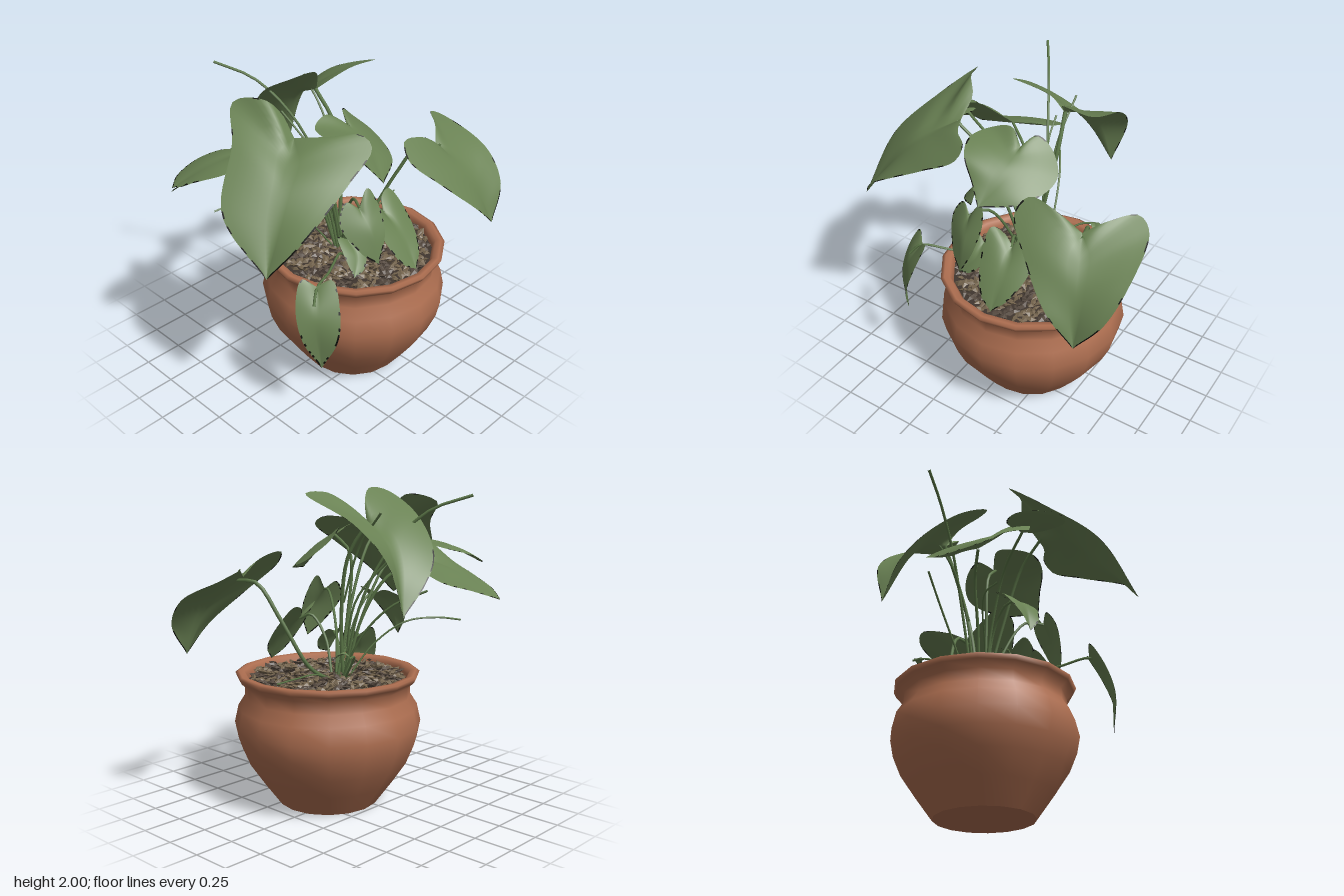
import * as THREE from 'three';
import { mergeGeometries } from 'three/addons/utils/BufferGeometryUtils.js';

const mat = (name, color, extra = {}) => {
  const m = new THREE.MeshStandardMaterial({ color, ...extra });
  m.name = name;
  return m;
};
const vec = (p) => new THREE.Vector3(...p);

export function createModel() {
  const model = new THREE.Group();
  model.name = 'pottedPlant';
  const clay = mat('terracotta', 0xad6e50);
  const leafGreen = mat('leafGreen', 0x6a8254, { side: THREE.DoubleSide });
  const leafEdge = mat('leafEdgeBlack', 0x0b0d08, { side: THREE.DoubleSide });
  const stemGreen = mat('stemGreen', 0x5c7748);
  const earth = mat('darkEarth', 0x40362f);
  const chipBrown = mat('barkBrown', 0x74644d, { flatShading: true });
  const chipDark = mat('barkDark', 0x574b41, { flatShading: true });

  let seed = 7;
  const rnd = () => (seed = (seed * 16807) % 2147483647) / 2147483647;
  const add = (name, geometry, material, parent = model) => {
    const mesh = new THREE.Mesh(geometry, material);
    mesh.name = name;
    parent.add(mesh);
  };

  // Pot: turned wall with belly, neck and rolled rim, plus a flat base
  const potGroup = new THREE.Group();
  potGroup.name = 'pot';
  potGroup.position.set(0.105, 0, 0.095);
  model.add(potGroup);
  const profile = [[0.32, 0], [0.43, 0.15], [0.525, 0.29], [0.575, 0.41], [0.597, 0.52], [0.572, 0.63],
    [0.528, 0.7], [0.526, 0.775], [0.572, 0.815], [0.587, 0.845], [0.565, 0.855], [0.53, 0.85], [0.51, 0.82], [0.505, 0.74]];
  add('potWall', new THREE.LatheGeometry(profile.map(([r, y]) => new THREE.Vector2(r, y)), 16), clay, potGroup);
  add('potBase', new THREE.CircleGeometry(0.32, 16).rotateX(Math.PI / 2), clay, potGroup);
  add('soil', new THREE.CircleGeometry(0.515, 28).rotateX(-Math.PI / 2).translate(0, 0.795, 0), earth, potGroup);

  // Bark chips scattered over the soil
  const chips = [[], []];
  for (let i = 0; i < 520; i++) {
    const r = 0.485 * Math.sqrt((i + 0.5) / 520), a = i * 2.39996;
    const chip = new THREE.OctahedronGeometry(1);
    chip.scale(0.016 + rnd() * 0.01, 0.009 + rnd() * 0.005, 0.028 + rnd() * 0.018);
    chip.rotateX((rnd() - 0.5) * 1.1).rotateZ((rnd() - 0.5) * 1.1).rotateY(rnd() * 6.28);
    chip.translate(r * Math.cos(a), 0.808 + rnd() * 0.026, r * Math.sin(a));
    chips[i % 5 < 3 ? 0 : 1].push(chip);
  }
  add('barkChips', mergeGeometries(chips[0]), chipBrown, potGroup);
  add('darkBarkChips', mergeGeometries(chips[1]), chipDark, potGroup);

  // Heart-shaped leaf: lofted from left edge over the midrib to right edge,
  // with a narrow ragged dark border that thickens toward the tip
  const leaves = new THREE.Group();
  leaves.name = 'leaves';
  model.add(leaves);
  function leaf(name, base, mid, tip, left, right) {
    const N = 36, M = 7, W = 2 * M + 1;
    const curve = (pts) => new THREE.CatmullRomCurve3([base, ...pts, tip].map(vec), false, 'centripetal');
    const edges = [curve(left), curve(right)], rib = curve([mid]);
    const pos = [], blade = [], border = [];
    for (let i = 0; i <= N; i++) {
      const t = i / N, m = rib.getPoint(t);
      const e = edges.map((c) => c.getPointAt(t));
      for (let j = -M; j <= M; j++) {
        const k = Math.abs(j), edge = e[j < 0 ? 0 : 1], d = m.distanceTo(edge);
        const u = k === M ? 1 : (k / (M - 1)) * (1 - Math.min(0.5, 0.01 / Math.max(d, 0.001)));
        const p = m.clone().lerp(edge, u);
        p.y += 0.2 * u * (1 - u) * d;
        pos.push(p.x, p.y, p.z);
        if (i < N && j < M) {
          const a = i * W + j + M, b = a + W;
          const outer = j === -M || j === M - 1;
          (outer && rnd() < 0.1 + 0.7 * t ** 3 ? border : blade).push(a, b, a + 1, a + 1, b, b + 1);
        }
      }
    }
    const g = new THREE.BufferGeometry();
    g.setAttribute('position', new THREE.Float32BufferAttribute(pos, 3));
    g.setIndex([...blade, ...border]);
    g.addGroup(0, blade.length, 0);
    g.addGroup(blade.length, border.length, 1);
    g.computeVertexNormals();
    add(name, g, [leafGreen, leafEdge], leaves);
  }

  leaf('frontRightLeaf', [0.58, 1.47, 0.34], [0.68, 1.28, 0.56], [0.75, 0.97, 0.7],
    [[0.42, 1.57, 0.36], [0.25, 1.6, 0.36], [0.2, 1.52, 0.44], [0.36, 1.34, 0.58], [0.57, 1.14, 0.7]],
    [[0.68, 1.53, 0.25], [0.81, 1.54, 0.11], [0.9, 1.49, 0.16], [0.95, 1.35, 0.47], [0.9, 1.17, 0.64]]);
  leaf('frontLeftLeaf', [-0.4, 1.76, 0.1], [-0.66, 1.6, 0.27], [-0.93, 1.22, 0.43],
    [[-0.39, 1.87, -0.01], [-0.45, 1.95, -0.08], [-0.53, 1.91, -0.26], [-0.7, 1.76, -0.08], [-0.94, 1.49, 0.1]],
    [[-0.3, 1.79, 0.27], [-0.17, 1.8, 0.4], [-0.17, 1.75, 0.48], [-0.4, 1.62, 0.52], [-0.78, 1.4, 0.53]]);
  leaf('backLeftLeaf', [-0.3, 1.56, -0.31], [-0.53, 1.48, -0.43], [-0.77, 1.28, -0.61],
    [[-0.2, 1.58, -0.33], [-0.05, 1.6, -0.35], [-0.04, 1.53, -0.52], [-0.2, 1.44, -0.57], [-0.5, 1.36, -0.58]],
    [[-0.32, 1.68, -0.18], [-0.4, 1.78, -0.08], [-0.52, 1.73, -0.1], [-0.68, 1.54, -0.24], [-0.78, 1.42, -0.4], [-0.79, 1.34, -0.54]]);
  leaf('sideLeftLeaf', [-0.52, 1.64, -0.15], [-0.75, 1.61, -0.22], [-0.95, 1.49, -0.33],
    [[-0.58, 1.6, -0.33], [-0.72, 1.56, -0.4], [-0.86, 1.51, -0.4]],
    [[-0.55, 1.66, -0.06], [-0.76, 1.63, -0.03], [-0.88, 1.57, -0.16]]);
  leaf('backRightLeaf', [0.11, 1.8, -0.24], [0.14, 1.68, -0.46], [0.24, 1.29, -0.64],
    [[0.05, 1.93, -0.17], [-0.08, 2.0, -0.1], [-0.19, 1.98, -0.14], [-0.19, 1.84, -0.38], [-0.08, 1.62, -0.6], [0.06, 1.48, -0.66]],
    [[0.15, 1.88, -0.15], [0.22, 1.97, -0.04], [0.4, 1.97, -0.02], [0.4, 1.8, -0.42], [0.35, 1.6, -0.61]]);
  leaf('centreLeaf', [0.02, 1.71, 0.1], [0.02, 1.64, 0.27], [-0.04, 1.47, 0.46],
    [[-0.08, 1.78, 0.04], [-0.21, 1.75, 0.07], [-0.26, 1.74, 0.22], [-0.21, 1.69, 0.34], [-0.12, 1.58, 0.4]],
    [[0.08, 1.76, 0.01], [0.18, 1.68, 0], [0.27, 1.57, 0.1], [0.19, 1.5, 0.32]]);
  leaf('smallUpperLeaf', [-0.16, 1.32, 0.38], [-0.15, 1.2, 0.47], [-0.14, 0.99, 0.53],
    [[-0.23, 1.37, 0.34], [-0.3, 1.26, 0.36], [-0.23, 1.08, 0.47]],
    [[-0.08, 1.42, 0.37], [-0.04, 1.32, 0.42], [-0.06, 1.16, 0.5]]);
  leaf('smallLowerLeaf', [-0.14, 1.05, 0.27], [-0.15, 0.98, 0.36], [-0.23, 0.88, 0.42],
    [[-0.2, 1.08, 0.25], [-0.23, 1.02, 0.32]],
    [[-0.08, 1.07, 0.27], [-0.07, 1.0, 0.35], [-0.14, 0.91, 0.42]]);
  leaf('smallFrontLeaf', [0.11, 1.17, 0.33], [0.13, 1.06, 0.46], [0.13, 0.86, 0.6],
    [[0.04, 1.22, 0.31], [-0.03, 1.26, 0.34], [-0.03, 1.08, 0.47], [0.04, 0.92, 0.57]],
    [[0.15, 1.23, 0.28], [0.24, 1.25, 0.26], [0.28, 1.1, 0.39], [0.22, 0.95, 0.54]]);
  leaf('smallSideLeaf', [-0.26, 1.32, 0.01], [-0.37, 1.25, 0], [-0.45, 1.03, -0.02],
    [[-0.23, 1.35, -0.1], [-0.36, 1.27, -0.15], [-0.44, 1.13, -0.08]],
    [[-0.21, 1.36, 0.1], [-0.34, 1.28, 0.13], [-0.44, 1.13, 0.06]]);
  leaf('droopingLeaf', [-0.53, 0.96, 0.4], [-0.61, 0.8, 0.48], [-0.6, 0.46, 0.51],
    [[-0.59, 1.01, 0.34], [-0.67, 0.87, 0.37], [-0.69, 0.68, 0.44]],
    [[-0.46, 1.0, 0.46], [-0.49, 0.86, 0.55], [-0.54, 0.68, 0.59]]);

  // Stems: thin tubes arching from the crown
  const stems = new THREE.Group();
  stems.name = 'stems';
  model.add(stems);
  const stem = (name, r, ...pts) =>
    add(name, new THREE.TubeGeometry(new THREE.CatmullRomCurve3(pts.map(vec)), 16, r, 6), stemGreen, stems);
  stem('frontRightStem', 0.012, [0.13, 0.8, 0.03], [0.34, 0.92, 0.02], [0.48, 1.22, 0.12], [0.56, 1.44, 0.24], [0.6, 1.45, 0.37]);
  stem('frontLeftStem', 0.01, [0.04, 0.8, 0.04], [-0.08, 1.2, 0.08], [-0.26, 1.6, 0.1], [-0.42, 1.75, 0.12]);
  stem('backLeftStem', 0.01, [0.04, 0.8, 0], [-0.03, 1.2, -0.08], [-0.14, 1.46, -0.2], [-0.31, 1.55, -0.32]);
  stem('sideLeftStem', 0.009, [0.02, 0.8, 0.02], [-0.1, 1.2, -0.02], [-0.28, 1.52, -0.07], [-0.53, 1.64, -0.15]);
  stem('backRightStem', 0.012, [0.06, 0.8, 0], [0.1, 1.2, -0.02], [0.14, 1.6, -0.12], [0.11, 1.8, -0.25]);
  stem('centreStem', 0.01, [0.06, 0.8, 0.05], [0, 1.2, 0.02], [-0.02, 1.6, 0.02], [0.02, 1.71, 0.12]);
  stem('smallUpperStem', 0.009, [0.04, 0.8, 0.08], [-0.03, 1.1, 0.15], [-0.1, 1.32, 0.28], [-0.16, 1.32, 0.39]);
  stem('smallLowerStem', 0.008, [0.02, 0.8, 0.08], [-0.06, 1.0, 0.16], [-0.14, 1.05, 0.28]);
  stem('smallFrontStem', 0.009, [0.08, 0.8, 0.08], [0.05, 1.05, 0.17], [0.08, 1.19, 0.27], [0.11, 1.16, 0.34]);
  stem('smallSideStem', 0.008, [0.02, 0.8, 0.04], [-0.06, 1.15, 0.02], [-0.18, 1.31, 0.01], [-0.27, 1.32, 0.01]);
  stem('droopingStem', 0.008, [0.0, 0.8, 0.1], [-0.12, 0.89, 0.18], [-0.35, 0.93, 0.32], [-0.54, 0.95, 0.41], [-0.6, 0.88, 0.45]);
  // Bare shoots and tendrils
  stem('tallBareShoot', 0.009, [0.08, 0.8, -0.02], [0.05, 1.3, -0.14], [-0.04, 1.65, -0.3], [-0.16, 1.87, -0.5], [-0.3, 1.96, -0.71]);
  stem('rearBareShoot', 0.007, [0.1, 0.8, -0.02], [0.09, 1.1, -0.18], [0.02, 1.3, -0.36], [-0.1, 1.4, -0.54]);
  stem('middleBareShoot', 0.007, [0.06, 0.8, -0.02], [0.06, 1.3, -0.1], [-0.02, 1.55, -0.28], [-0.04, 1.65, -0.4]);
  stem('leftTendril', 0.006, [0.02, 0.8, 0], [-0.12, 1.02, -0.1], [-0.26, 1.16, -0.24], [-0.42, 1.18, -0.36], [-0.6, 1.15, -0.42]);
  stem('rightTendril', 0.005, [0.12, 0.8, 0.02], [0.3, 0.87, 0], [0.5, 0.89, -0.05], [0.72, 0.9, -0.1]);
  stem('shortShoot', 0.007, [0.1, 0.8, -0.04], [0.14, 0.92, -0.14], [0.24, 1.01, -0.26], [0.34, 1.02, -0.31]);
  stem('upperShoot', 0.007, [0.1, 1.3, -0.04], [0.11, 1.65, -0.18], [0.12, 1.86, -0.36]);

  // Small bud leaf on the short shoot
  leaf('budLeaf', [0.32, 1.03, -0.3], [0.34, 1.04, -0.27], [0.38, 1.01, -0.22],
    [[0.32, 1.05, -0.25]], [[0.37, 1.05, -0.28]]);
  return model;
}
